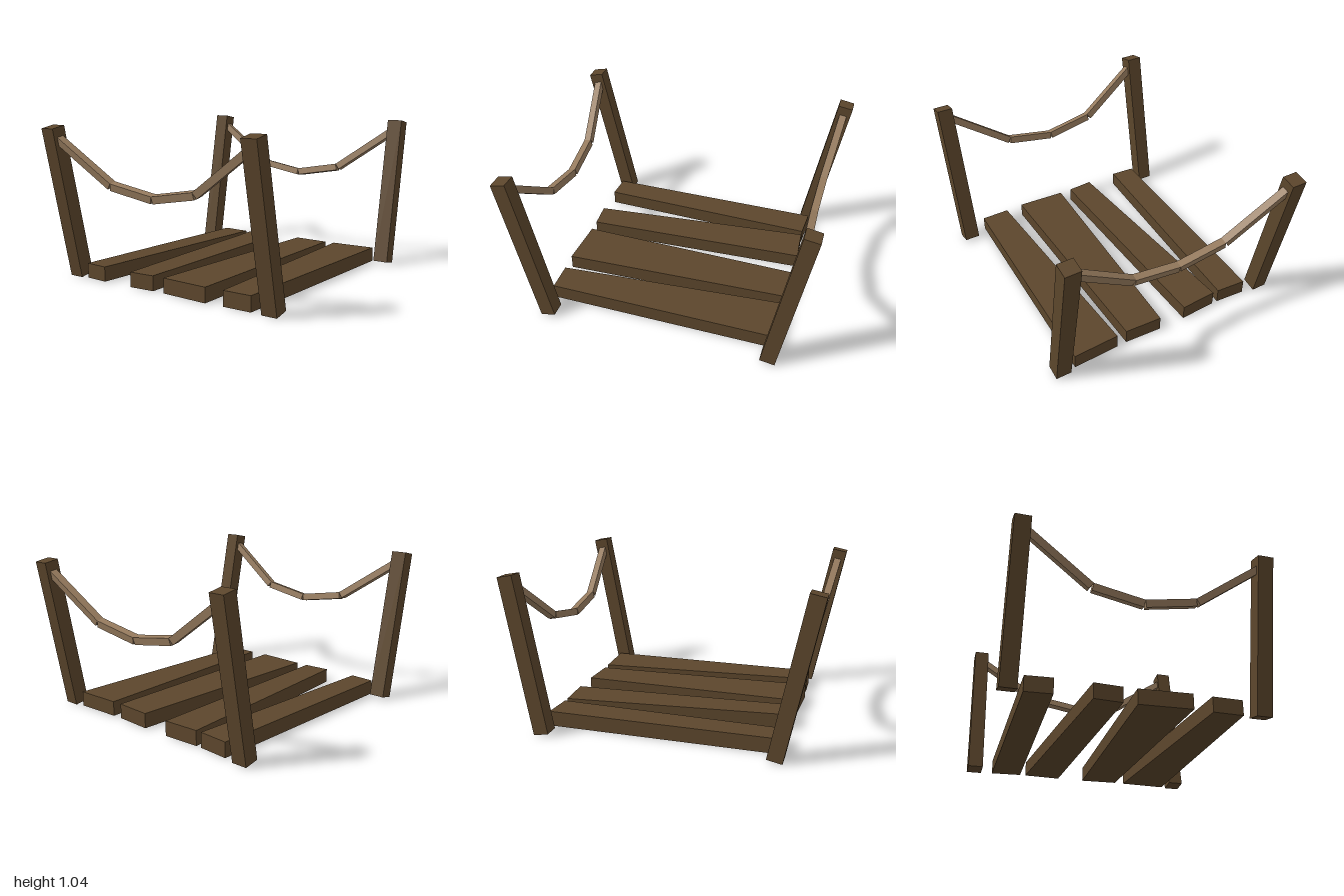
import * as THREE from 'three';

const wood = new THREE.MeshStandardMaterial({ color: 0x5c462c });
wood.name = 'darkWood';
const ropeTan = new THREE.MeshStandardMaterial({ color: 0x967b5e });
ropeTan.name = 'ropeTan';

// Crooked plank: four [x, z] corners, raised from the ground
function plank(corners, name) {
  const shape = new THREE.Shape(corners.map(([x, z]) => new THREE.Vector2(x, -z)));
  const geo = new THREE.ExtrudeGeometry(shape, { depth: 0.1, bevelEnabled: false });
  geo.rotateX(-Math.PI / 2);
  const mesh = new THREE.Mesh(geo, wood);
  mesh.name = name;
  return mesh;
}

// Square rope piece whose top edge runs between two [z, y] points
function ropePiece([z0, y0], [z1, y1]) {
  const length = Math.hypot(z1 - z0, y1 - y0);
  const geo = new THREE.BoxGeometry(0.05, 0.048, length);
  geo.translate(0, -0.024, 0);
  const mesh = new THREE.Mesh(geo, ropeTan);
  mesh.rotation.x = -Math.atan2(y1 - y0, z1 - z0);
  mesh.position.set(0, (y0 + y1) / 2, (z0 + z1) / 2);
  mesh.name = 'ropePiece';
  return mesh;
}

// Leaning side: two posts and the sagging rope between them
function railing(name, x, lean) {
  const side = new THREE.Group();
  side.name = name;
  for (const s of [1, -1]) {
    const post = new THREE.Mesh(new THREE.BoxGeometry(0.1, 1.036, 0.104), wood);
    post.position.set(0, 0.518, s * 0.778);
    post.name = s > 0 ? 'frontPost' : 'backPost';
    side.add(post);
  }
  const sag = [[-0.74, 0.983], [-0.325, 0.692], [0, 0.636], [0.325, 0.692], [0.74, 0.983]];
  const rope = new THREE.Group();
  rope.name = 'rope';
  for (let i = 0; i < sag.length - 1; i++) rope.add(ropePiece(sag[i], sag[i + 1]));
  side.add(rope);
  side.position.set(x, 0.012, 0);
  side.rotation.z = lean;
  return side;
}

export function createModel() {
  const bridge = new THREE.Group();
  bridge.name = 'ropeBridge';

  // Deck planks, back to front
  const planks = [
    [[-0.765, -0.69], [0.785, -0.648], [0.77, -0.44], [-0.777, -0.52]],
    [[-0.777, -0.29], [0.77, -0.4], [0.783, -0.147], [-0.765, -0.107]],
    [[-0.765, -0.02], [0.783, 0.043], [0.77, 0.298], [-0.783, 0.322]],
    [[-0.775, 0.448], [0.773, 0.367], [0.785, 0.685], [-0.773, 0.645]],
  ];
  planks.forEach((c, i) => bridge.add(plank([...c].reverse(), `plank${i + 1}`)));

  // Side railings
  bridge.add(railing('leftRailing', 0.762, -0.18));
  bridge.add(railing('rightRailing', -0.738, 0.206));
  return bridge;
}
